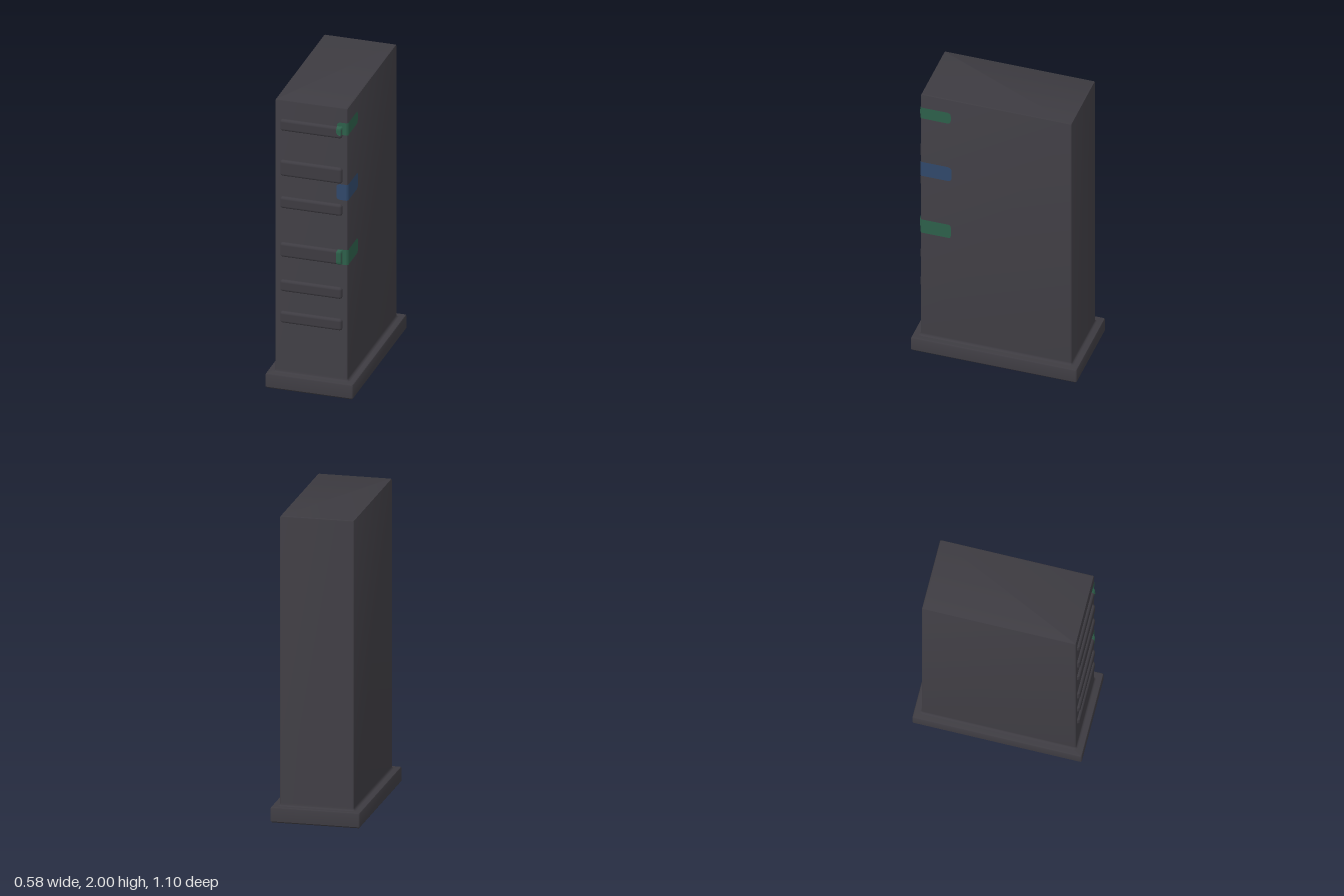
import * as THREE from 'three';
import { toCreasedNormals } from 'three/addons/utils/BufferGeometryUtils.js';
import { RoundedBoxGeometry } from 'three/addons/geometries/RoundedBoxGeometry.js';

const HALF_W = 0.24, HALF_D = 0.5, RIB_R = 0.018, RIB_HALF = 0.205;

// front ribs: centre height, height
const RIBS = [[1.83, 0.08], [1.53, 0.11], [1.29, 0.08], [0.96, 0.1], [0.71, 0.08], [0.49, 0.08]];

const material = (name, color, side = THREE.FrontSide) => {
  const m = new THREE.MeshStandardMaterial({ color, side });
  m.name = name;
  return m;
};

// one rounded rectangle ring, counter-clockwise seen from above
function ring(hx, hz, r, y) {
  const pts = [];
  for (let c = 0; c < 4; c++) {
    const sx = c === 0 || c === 3 ? 1 : -1, sz = c < 2 ? -1 : 1;
    for (let i = 0; i <= 3; i++) {
      const a = (c + i / 3) * Math.PI / 2;
      pts.push([sx * (hx - r) + r * Math.cos(a), y, sz * (hz - r) - r * Math.sin(a)]);
    }
  }
  return pts;
}

// skin a stack of rings and cap both ends
function loft(rings) {
  const n = rings[0].length, pos = rings.flat(2), idx = [];
  for (let k = 0; k < rings.length - 1; k++) {
    for (let i = 0; i < n; i++) {
      const a = k * n + i, b = k * n + (i + 1) % n;
      idx.push(a, b, b + n, a, b + n, a + n);
    }
  }
  const top = (rings.length - 1) * n;
  for (let i = 1; i < n - 1; i++) idx.push(0, i + 1, i, top, top + i, top + i + 1);
  const g = new THREE.BufferGeometry();
  g.setAttribute('position', new THREE.Float32BufferAttribute(pos, 3));
  g.setIndex(idx);
  return toCreasedNormals(g, 0.6);
}

// how far the ribs stand out of the front at height y
function ribHeight(y) {
  let out = 0;
  for (const [c, h] of RIBS) {
    const d = Math.max(0, Math.abs(y - c) - (h / 2 - RIB_R));
    if (d < RIB_R) out = Math.sqrt(RIB_R * RIB_R - d * d);
  }
  return out;
}

// thin marker that follows the front ribs and wraps round the left edge
function markerGeometry(y0, y1, frontX, backZ, r) {
  const rows = 28, skin = 0.002, pos = [], idx = [];
  for (let k = 0; k <= rows; k++) {
    const y = y0 + (y1 - y0) * k / rows;
    const d = Math.max(0, r - Math.min(y - y0, y1 - y));
    const inset = r - Math.sqrt(Math.max(0, r * r - d * d));
    const z = HALF_D + skin, x = HALF_W + skin, h = ribHeight(y);
    const path = [
      [frontX + inset, z + h], [0.197, z + h * 0.85], [RIB_HALF + skin, z],
      [x - 0.008, z], [x, z - 0.008], [x, backZ + inset],
    ];
    path.forEach(([px, pz]) => pos.push(px, y, pz));
    if (k === 0) continue;
    for (let i = 0; i < path.length - 1; i++) {
      const a = (k - 1) * path.length + i, b = a + path.length;
      idx.push(a, a + 1, b + 1, a, b + 1, b);
    }
  }
  const g = new THREE.BufferGeometry();
  g.setAttribute('position', new THREE.Float32BufferAttribute(pos, 3));
  g.setIndex(idx);
  return toCreasedNormals(g, 0.6);
}

export function createModel() {
  const group = new THREE.Group();
  const charcoal = material('charcoal', 0x3d3b41);
  const green = material('green', 0x2d5f4a, THREE.DoubleSide);
  const blue = material('blue', 0x30486a, THREE.DoubleSide);
  const add = (name, geometry, mat) => {
    const mesh = new THREE.Mesh(geometry, mat);
    mesh.name = name;
    group.add(mesh);
    return mesh;
  };

  // plinth with softened edges
  add('base', loft([
    ring(0.284, 0.544, 0.006, 0), ring(0.29, 0.55, 0.01, 0.008),
    ring(0.29, 0.55, 0.01, 0.092), ring(0.287, 0.547, 0.008, 0.098),
    ring(0.282, 0.542, 0.006, 0.1),
  ]), charcoal);

  // tower with a small cove where it meets the plinth
  const cove = [];
  for (let i = 0; i <= 4; i++) {
    const a = i / 4 * Math.PI / 2, o = 0.018 * (1 - Math.sin(a));
    cove.push(ring(HALF_W + o, HALF_D + o, 0.008 + o, 0.099 + 0.018 * (1 - Math.cos(a))));
  }
  add('tower', loft([
    ...cove,
    ring(HALF_W, HALF_D, 0.008, 1.992), ring(0.2375, 0.4975, 0.006, 1.9975),
    ring(0.232, 0.492, 0.004, 2),
  ]), charcoal);

  // rounded ribs across the front
  RIBS.forEach(([y, h], i) => {
    const g = new RoundedBoxGeometry(RIB_HALF * 2, h, RIB_R * 2, 4, RIB_R);
    add('rib' + (i + 1), g, charcoal).position.set(0, y, HALF_D);
  });

  // coloured edge markers
  add('upperMarker', markerGeometry(1.815, 1.9, 0.17, 0.3, 0.022), green);
  add('middleMarker', markerGeometry(1.36, 1.47, 0.165, 0.295, 0.025), blue);
  add('lowerMarker', markerGeometry(0.91, 1.015, 0.17, 0.3, 0.016), green);
  return group;
}
